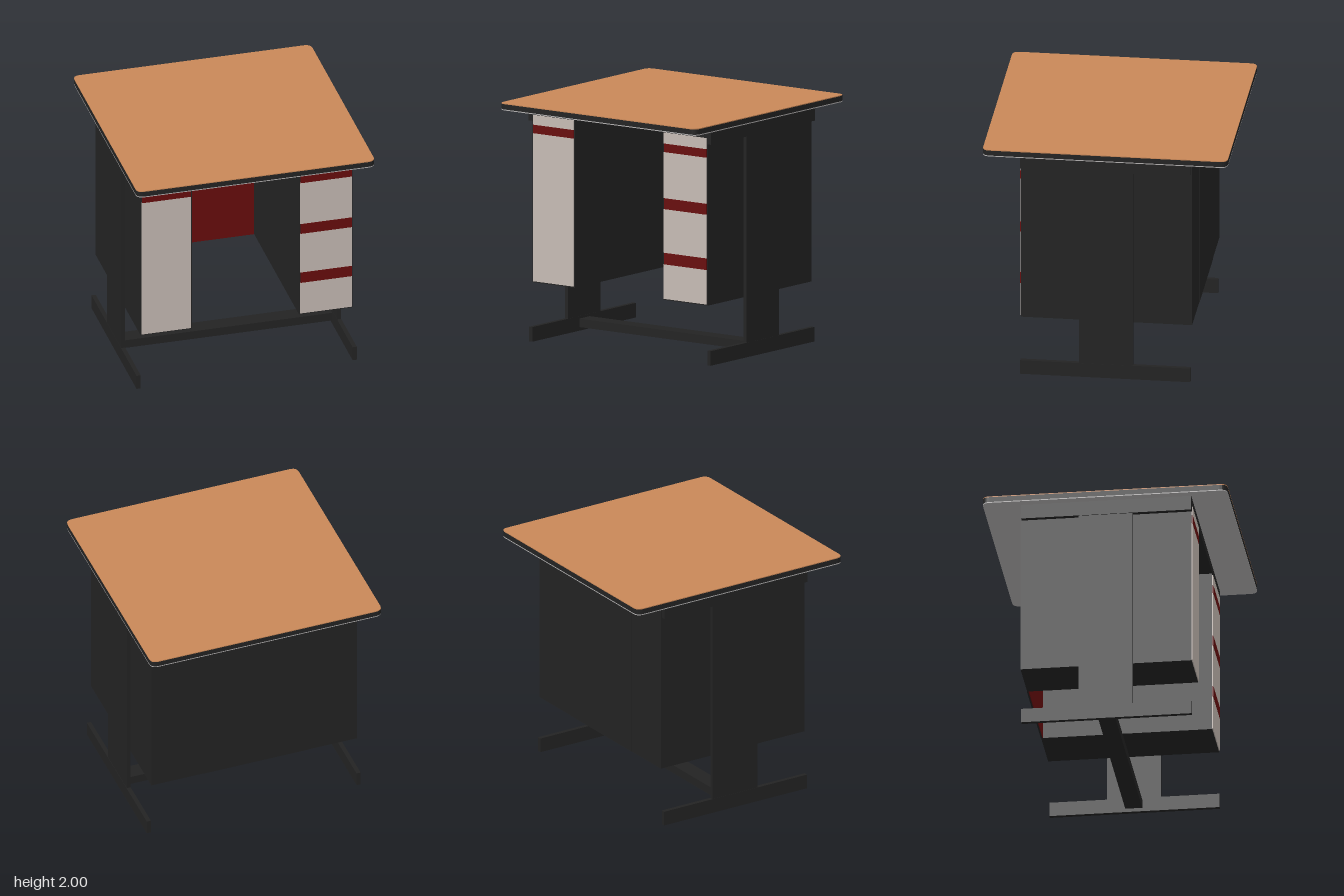
import * as THREE from 'three';

const mat = (name, color) => Object.assign(new THREE.MeshStandardMaterial({ color }), { name });

export function createModel() {
  const wood = mat('orange wood', 0xc98858);
  const dark = mat('charcoal', 0x232323);
  const red = mat('deep red', 0x680d0d);
  const cream = mat('warm white', 0xc6bbb4);
  const grey = mat('underside grey', 0xb4b2b2);

  const desk = new THREE.Group();
  desk.name = 'desk';

  // Box given by its limits on each axis
  function box(parent, name, material, [x0, x1], [y0, y1], [z0, z1]) {
    const mesh = new THREE.Mesh(new THREE.BoxGeometry(x1 - x0, y1 - y0, z1 - z0), material);
    mesh.position.set((x0 + x1) / 2, (y0 + y1) / 2, (z0 + z1) / 2);
    mesh.name = name;
    parent.add(mesh);
    return mesh;
  }

  // Table top: three stacked layers with rounded corners
  const outline = new THREE.Shape();
  const r = 0.06;
  outline.moveTo(-1 + r, -1);
  outline.lineTo(1 - r, -1);
  outline.quadraticCurveTo(1, -1, 1, -1 + r);
  outline.lineTo(1, 1 - r);
  outline.quadraticCurveTo(1, 1, 1 - r, 1);
  outline.lineTo(-1 + r, 1);
  outline.quadraticCurveTo(-1, 1, -1, 1 - r);
  outline.lineTo(-1, -1 + r);
  outline.quadraticCurveTo(-1, -1, -1 + r, -1);
  const layers = [
    ['topUnderside', grey, 1.942, 1.95],
    ['topEdge', dark, 1.95, 1.993],
    ['topSurface', wood, 1.993, 2],
  ];
  for (const [name, material, y0, y1] of layers) {
    const geo = new THREE.ExtrudeGeometry(outline, { depth: y1 - y0, bevelEnabled: false, curveSegments: 6 });
    geo.rotateX(-Math.PI / 2);
    const mesh = new THREE.Mesh(geo, material);
    mesh.position.y = y0;
    mesh.name = name;
    desk.add(mesh);
  }

  // Frame under the top, and the floor stretcher
  box(desk, 'topFrame', dark, [-0.9, 0.9], [1.88, 1.942], [-0.69, 0.7]);
  box(desk, 'stretcher', dark, [-0.89, 0.89], [0.03, 0.1], [-0.07, 0.07]);

  // Leg frames: foot, wide upright and side rail
  for (const s of [-1, 1]) {
    const leg = new THREE.Group();
    leg.name = s > 0 ? 'leftLeg' : 'rightLeg';
    const span = (a, b) => (s > 0 ? [a, b] : [-b, -a]);
    box(leg, 'foot', dark, span(0.89, 0.925), [0, 0.12], [-0.69, 0.7]);
    box(leg, 'upright', dark, span(0.892, 0.923), [0.12, 1.82], [-0.22, 0.22]);
    box(leg, 'sideRail', dark, span(0.89, 0.93), [1.82, 1.942], [-0.69, 0.7]);
    desk.add(leg);
  }

  // Pedestals: dark carcass, pale front, red pull strips
  const pedestals = [
    ['doorPedestal', -0.89, -0.46, [[1.72, 1.79]]],
    ['drawerPedestal', 0.44, 0.89, [[1.71, 1.78], [1.24, 1.33], [0.785, 0.88]]],
  ];
  for (const [name, x0, x1, strips] of pedestals) {
    const pedestal = new THREE.Group();
    pedestal.name = name;
    box(pedestal, 'carcass', dark, [x0, x1], [0.49, 1.88], [-0.7, 0.696]);
    // One pale panel between each pair of strips
    let upper = 1.87;
    for (const [low, high] of [...strips, [0.5, 0.5]]) {
      box(pedestal, 'frontPanel', cream, [x0 + 0.008, x1 - 0.008], [high, upper], [0.696, 0.704]);
      if (high > low) box(pedestal, 'pullStrip', red, [x0 + 0.012, x1 - 0.008], [low, high], [0.696, 0.706]);
      upper = low;
    }
    desk.add(pedestal);
  }

  // Back panel of the knee space, red on its inner face
  box(desk, 'backPanel', dark, [-0.46, 0.44], [0.49, 1.88], [-0.703, -0.69]);
  box(desk, 'backPanelLining', red, [-0.46, 0.44], [0.49, 1.88], [-0.69, -0.684]);

  return desk;
}
